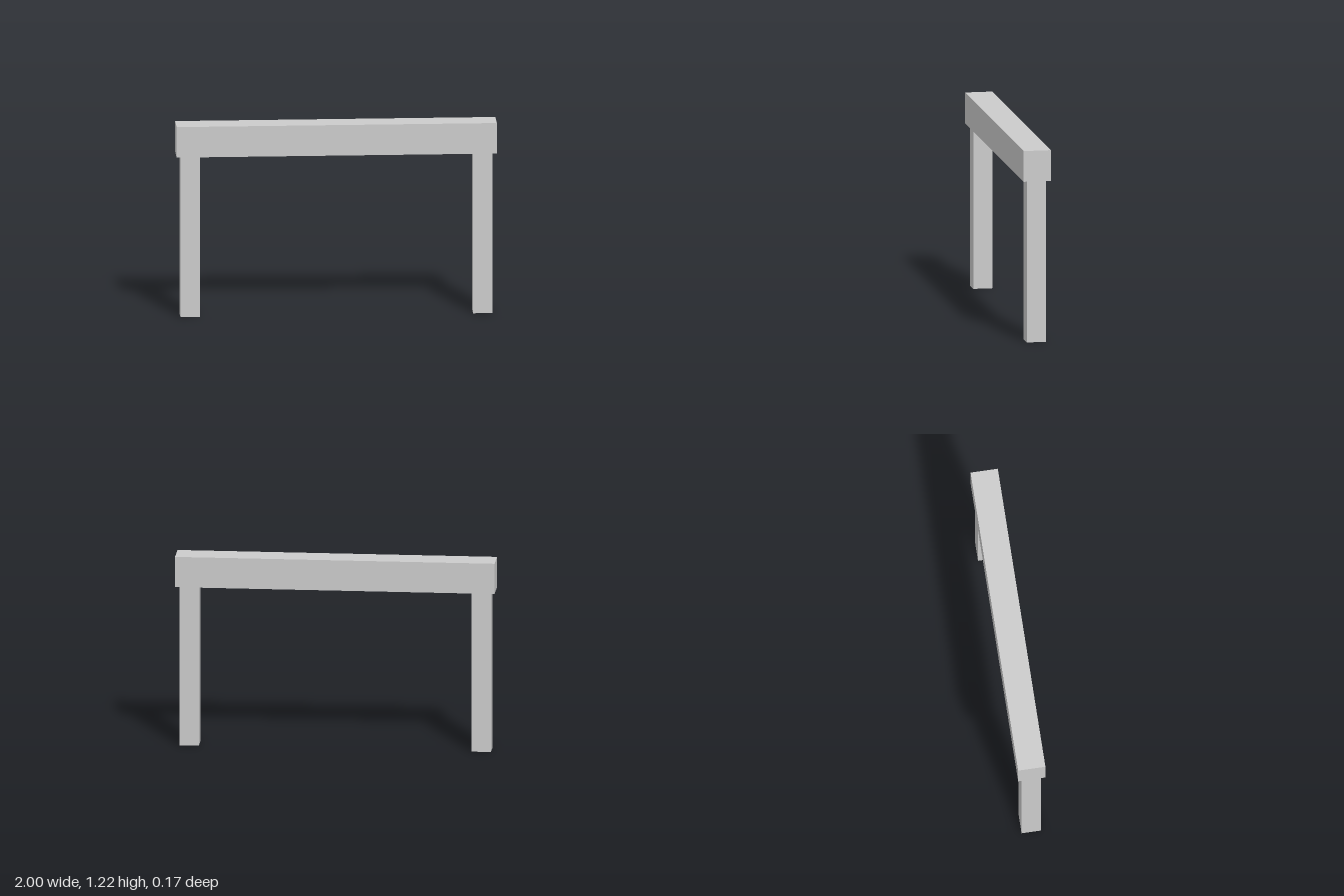
import * as THREE from 'three';

const LEG_HEIGHT = 1.025;
const BEAM_HEIGHT = 0.195;

export function createModel() {
  const model = new THREE.Group();
  model.name = 'postAndBeamFrame';
  const material = new THREE.MeshStandardMaterial({ color: 0xcccccc, flatShading: true });

  // Box standing on the given base height
  const addBox = (name, width, height, depth, x, baseY) => {
    const mesh = new THREE.Mesh(new THREE.BoxGeometry(width, height, depth), material);
    mesh.name = name;
    mesh.position.set(x, baseY + height / 2, 0);
    model.add(mesh);
  };

  // Top beam
  addBox('beam', 2, BEAM_HEIGHT, 0.172, 0, LEG_HEIGHT);

  // Square legs, set in slightly from the beam ends
  for (const side of [1, -1]) {
    addBox(side > 0 ? 'leftLeg' : 'rightLeg', 0.122, LEG_HEIGHT, 0.122, side * 0.914, 0);
  }

  return model;
}
